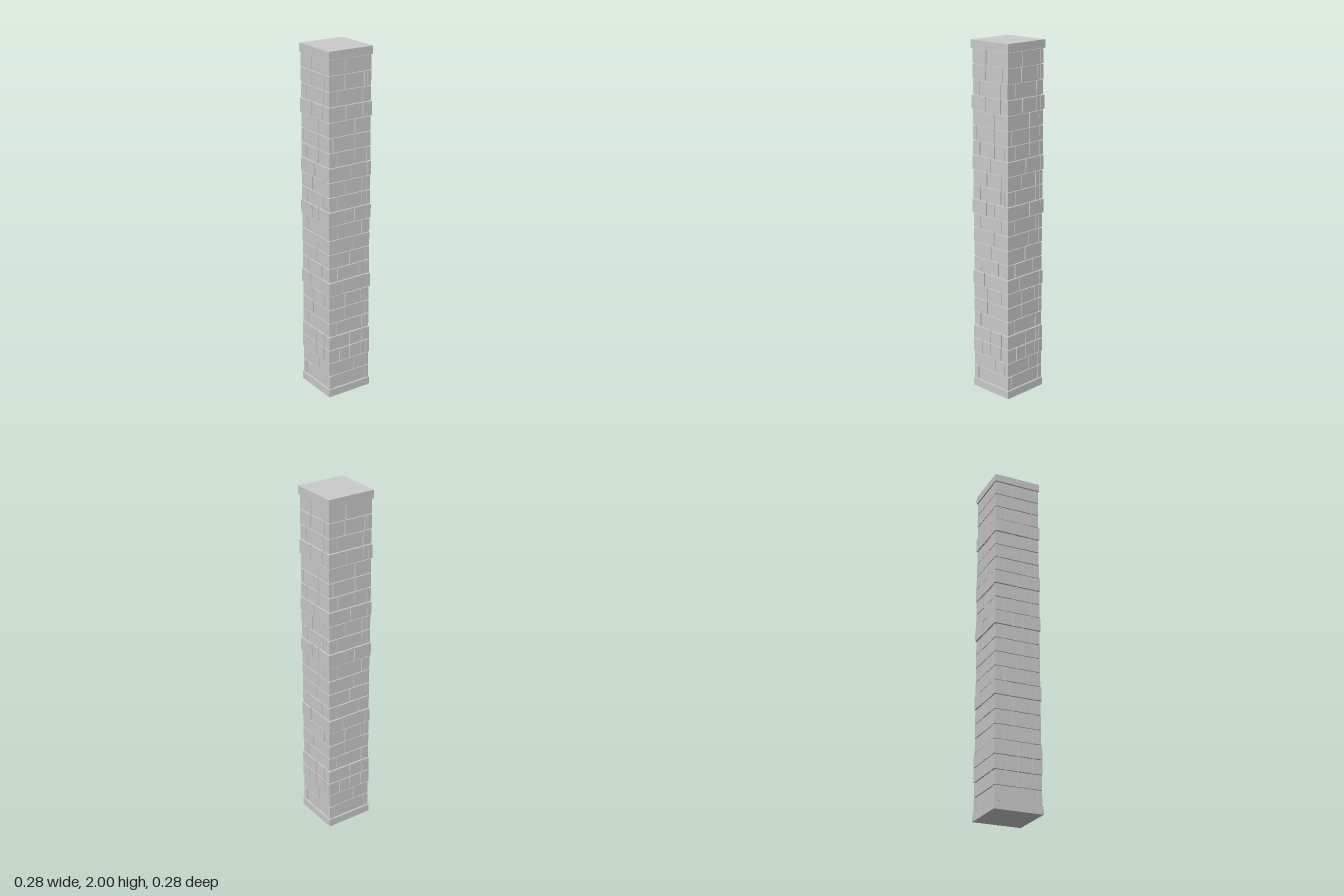
import * as THREE from 'three';

const HALF = 0.14, SLAB = 0.045, HEIGHT = 2;
// Vertical joints of each brick course, from the bottom up
const COURSES = [
  [-0.105], [0.03], [-0.07, 0, 0.08], [0, 0.085], [-0.085, 0.085], [-0.03],
  [-0.03, 0.08], [-0.05], [-0.08, 0.06], [0], [0.025], [-0.08, 0.08],
  [-0.03, 0.03], [-0.08, 0.08], [-0.03, 0.08], [0], [-0.08, 0.03], [-0.11, 0.03],
  [0.03], [-0.03, 0.08], [-0.08, 0.08], [-0.035, 0.09], [-0.03],
];
const PROUD = [2, 3, 7, 12, 15, 19]; // courses that stand out further
const JOINT = 0.005, CORNER = 0.025;

export function createModel() {
  const column = new THREE.Group();
  column.name = 'brickColumn';
  const material = new THREE.MeshStandardMaterial({ color: 0xcccccc, flatShading: true });

  const addBox = (parent, name, w, h, d, x, y, z) => {
    const mesh = new THREE.Mesh(new THREE.BoxGeometry(w, h, d), material);
    mesh.name = name;
    mesh.position.set(x, y, z);
    parent.add(mesh);
  };

  // End slabs and the mortar core between them
  addBox(column, 'baseSlab', 2 * HALF, SLAB, 2 * HALF, 0, SLAB / 2, 0);
  addBox(column, 'topSlab', 2 * HALF, SLAB, 2 * HALF, 0, HEIGHT - SLAB / 2, 0);
  addBox(column, 'mortarCore', 0.252, HEIGHT - 2 * SLAB, 0.252, 0, HEIGHT / 2, 0);

  const pitch = (HEIGHT - 2 * SLAB) / COURSES.length;
  let seed = 7;
  const random = () => (seed = (seed * 16807) % 2147483647) / 2147483647;

  // Each face carries the same brickwork; runs overlap pinwheel-fashion at corners
  const depths = COURSES.map((joints) => [...joints, 0].map(() => random() * 0.003));
  for (let side = 0; side < 4; side++) {
    const face = new THREE.Group();
    face.name = 'brickFace' + (side + 1);
    face.rotation.y = side * Math.PI / 2;
    COURSES.forEach((joints, row) => {
      const reach = PROUD.includes(row) ? 0.139 : 0.135;
      const edges = [-reach, ...joints, reach - CORNER];
      for (let i = 0; i < edges.length - 1; i++) {
        const left = edges[i] + (i ? JOINT / 2 : 0);
        const right = edges[i + 1] - JOINT / 2;
        const front = reach - depths[row][i];
        addBox(face, 'brick', right - left, pitch - JOINT, CORNER,
          (left + right) / 2, SLAB + (row + 0.5) * pitch, front - CORNER / 2);
      }
    });
    column.add(face);
  }
  return column;
}
